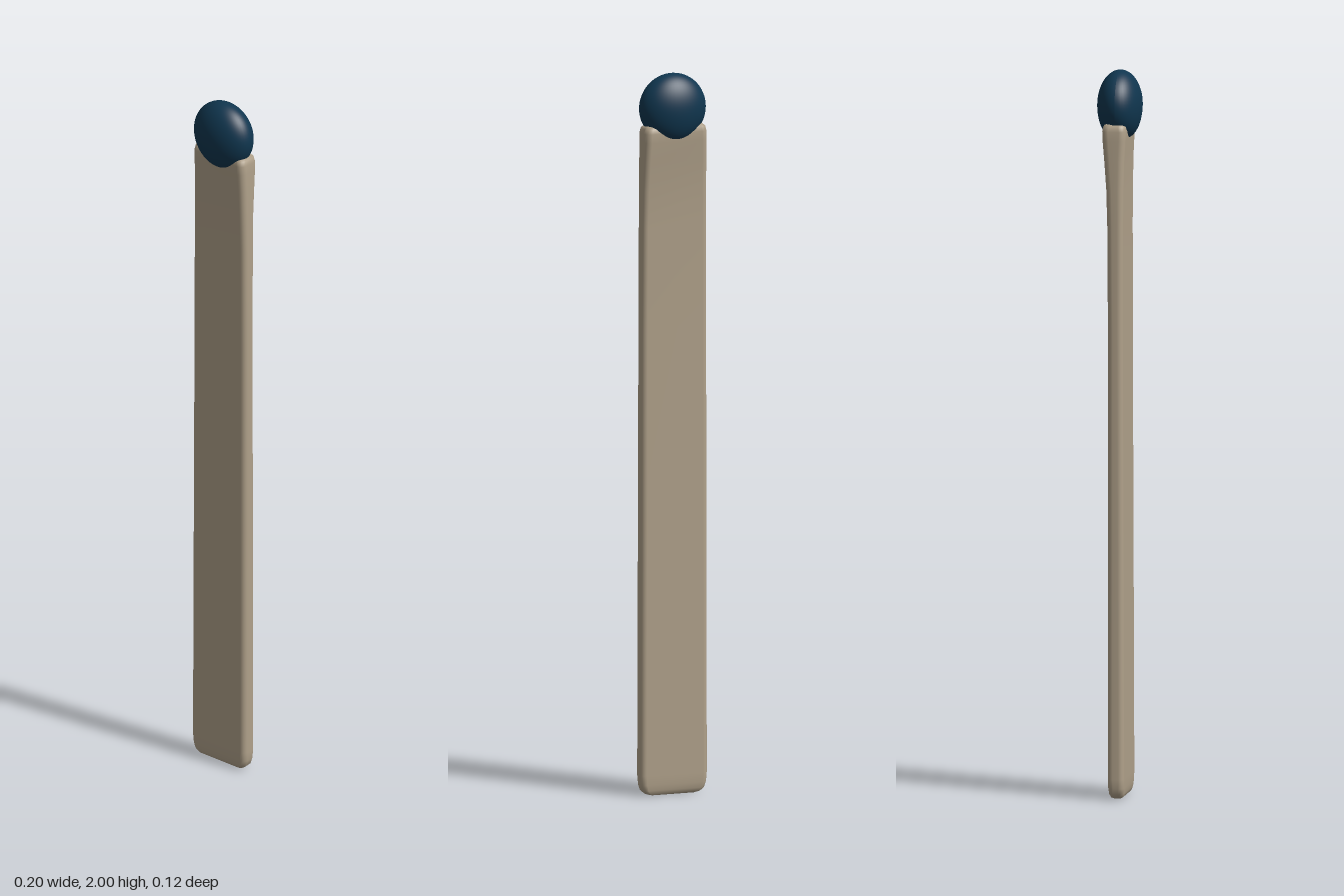
import * as THREE from 'three';

// Rounded-rectangle cross-sections stacked along y; each row: [y, halfX, halfZ, centreZ, cornerRadius]
function loft(rows, perCorner = 6) {
  const pos = [], idx = [], n = perCorner * 4;
  for (const [y, hx, hz, cz, r] of rows) {
    for (let c = 0; c < 4; c++) {
      const sx = c === 0 || c === 3 ? 1 : -1, sz = c < 2 ? 1 : -1;
      for (let k = 0; k < perCorner; k++) {
        const a = (c + k / (perCorner - 1)) * Math.PI / 2;
        pos.push(sx * (hx - r) + r * Math.cos(a), y, cz + sz * (hz - r) + r * Math.sin(a));
      }
    }
  }
  for (let i = 0; i < rows.length - 1; i++) {
    for (let j = 0; j < n; j++) {
      const a = i * n + j, b = i * n + (j + 1) % n;
      idx.push(a, a + n, b, b, a + n, b + n);
    }
  }
  const g = new THREE.BufferGeometry();
  g.setAttribute('position', new THREE.Float32BufferAttribute(pos, 3));
  g.setIndex(idx);
  g.computeVertexNormals();
  return g;
}

export function createModel() {
  const wood = new THREE.MeshStandardMaterial({ color: 0xb0a18a });
  wood.name = 'pale wood';
  const tip = new THREE.MeshStandardMaterial({ color: 0x10364f });
  tip.name = 'dark blue tip';

  const model = new THREE.Group();
  model.name = 'matchstick';

  // Flat stick with a rounded foot, swelling in depth just below the head
  const stick = new THREE.Mesh(loft([
    [0.004, 0.002, 0.001, 0.003, 0.001],
    [0.004, 0.066, 0.010, 0.003, 0.008],
    [0.008, 0.080, 0.016, 0.003, 0.012],
    [0.018, 0.091, 0.020, 0.003, 0.014],
    [0.034, 0.096, 0.022, 0.003, 0.015],
    [0.060, 0.098, 0.023, 0.003, 0.015],
    [0.700, 0.097, 0.022, 0.002, 0.015],
    [1.300, 0.096, 0.021, 0.001, 0.015],
    [1.580, 0.095, 0.022, 0.000, 0.015],
    [1.680, 0.094, 0.024, -0.001, 0.016],
    [1.760, 0.093, 0.028, -0.003, 0.017],
    [1.815, 0.092, 0.032, -0.004, 0.018],
    [1.840, 0.091, 0.033, -0.004, 0.018],
    [1.853, 0.088, 0.031, -0.004, 0.018],
    [1.860, 0.080, 0.025, -0.004, 0.016],
    [1.860, 0.002, 0.001, -0.004, 0.001],
  ]), wood);
  stick.name = 'stick';
  model.add(stick);

  // Flattened ball, slightly fuller in depth below its middle so it wraps the stick
  const ball = new THREE.SphereGeometry(1, 48, 32);
  const p = ball.attributes.position;
  for (let i = 0; i < p.count; i++) {
    const y = p.getY(i);
    const f = Math.sqrt(Math.max(0, 1 - y * y));
    const full = y < 0 && f > 0.01 ? Math.pow(f, -0.25) : 1;
    p.setXYZ(i, p.getX(i) * 0.095, y * 0.095, p.getZ(i) * 0.061 * full);
  }
  ball.computeVertexNormals();
  const head = new THREE.Mesh(ball, tip);
  head.name = 'head';
  head.position.y = 1.905;
  model.add(head);

  return model;
}
